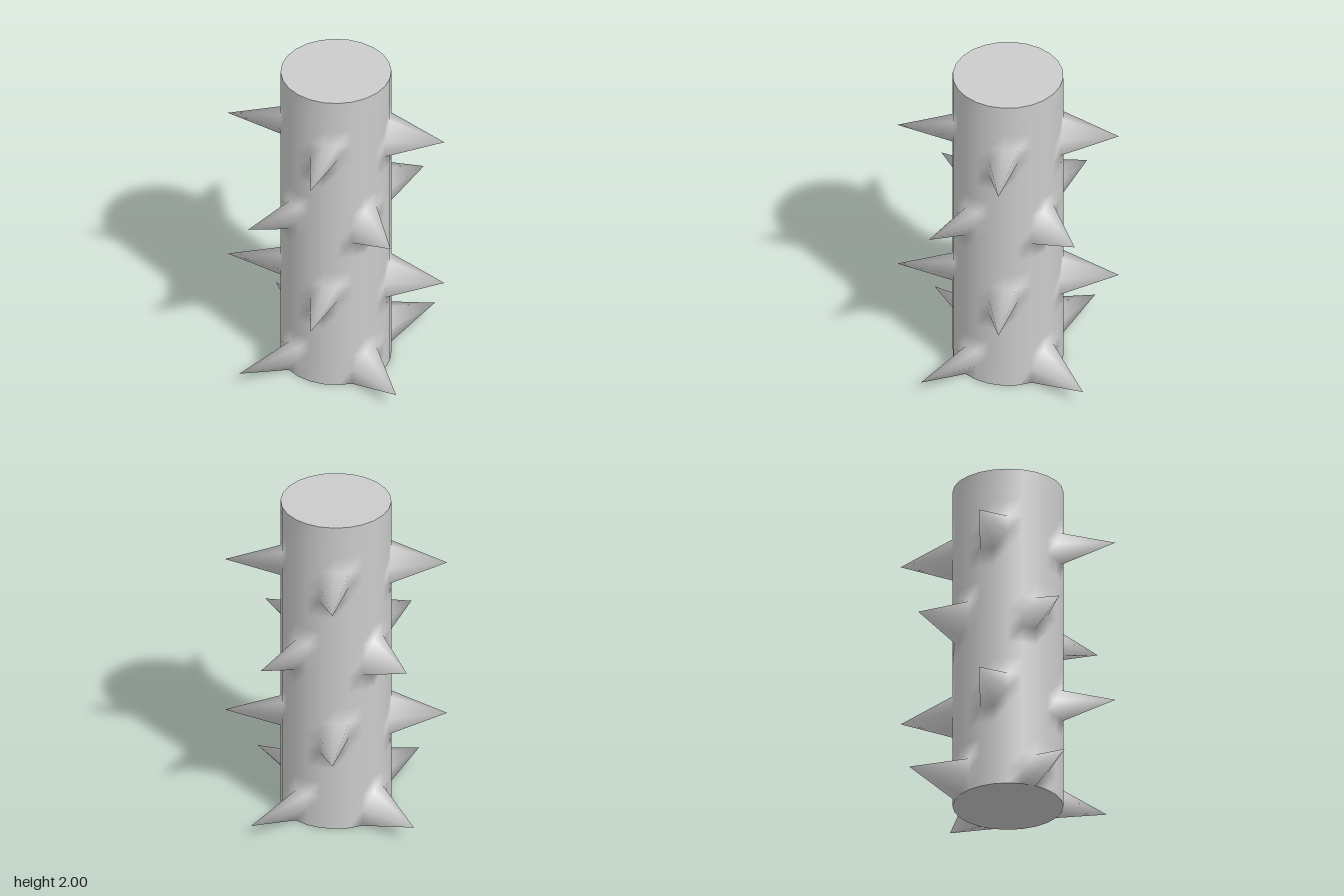
import * as THREE from 'three';
import { mergeVertices } from 'three/addons/utils/BufferGeometryUtils.js';

const RADIUS = 0.32, HEIGHT = 2, SIDES = 24, ROWS = 20;

// Rings of four spikes: height, turn (in column sides) and tip distance
const RINGS = [
  { y: 0.1, turn: 0, reach: 0.658 },
  { y: 0.6, turn: 3, reach: 0.642 },
  { y: 1.1, turn: 0, reach: 0.597 },
  { y: 1.6, turn: 3, reach: 0.642 },
];

// Distance from the axis of the grid point on a given side and height
function reachAt(side, y) {
  const ring = RINGS.find(r => Math.abs(r.y - y) < 0.01);
  if (!ring || (side - ring.turn + SIDES) % 6 !== 0) return RADIUS;
  // The lowest spike on the left is slightly longer
  return ring.y < 0.2 && side === 6 ? 0.672 : ring.reach;
}

// Column wall whose spikes are single grid points pulled outwards
function spikedWall() {
  let geo = new THREE.CylinderGeometry(RADIUS, RADIUS, HEIGHT, SIDES, ROWS, true);
  geo.translate(0, HEIGHT / 2, 0);
  geo.deleteAttribute('uv');
  geo.deleteAttribute('normal');
  const p = geo.attributes.position;
  for (let i = 0; i < p.count; i++) {
    const angle = Math.atan2(p.getX(i), p.getZ(i));
    const side = (Math.round(angle / (Math.PI * 2) * SIDES) + SIDES) % SIDES;
    const r = reachAt(side, p.getY(i));
    const a = side / SIDES * Math.PI * 2;
    p.setXYZ(i, Math.sin(a) * r, p.getY(i), Math.cos(a) * r);
  }
  // Weld the seam so shading flows around the column and up the spikes
  geo = mergeVertices(geo, 1e-4);
  geo.computeVertexNormals();
  return geo;
}

export function createModel() {
  const model = new THREE.Group();
  model.name = 'spikedColumn';
  const material = new THREE.MeshStandardMaterial({ color: 0xcccccc });

  const wall = new THREE.Mesh(spikedWall(), material);
  wall.name = 'spikedWall';
  model.add(wall);

  // Flat end caps
  for (const [name, y, tilt] of [['topCap', HEIGHT, -1], ['bottomCap', 0, 1]]) {
    const cap = new THREE.Mesh(new THREE.CircleGeometry(RADIUS, SIDES), material);
    cap.name = name;
    cap.rotation.x = tilt * Math.PI / 2;
    cap.position.y = y;
    model.add(cap);
  }

  model.position.x = -0.007;
  return model;
}
